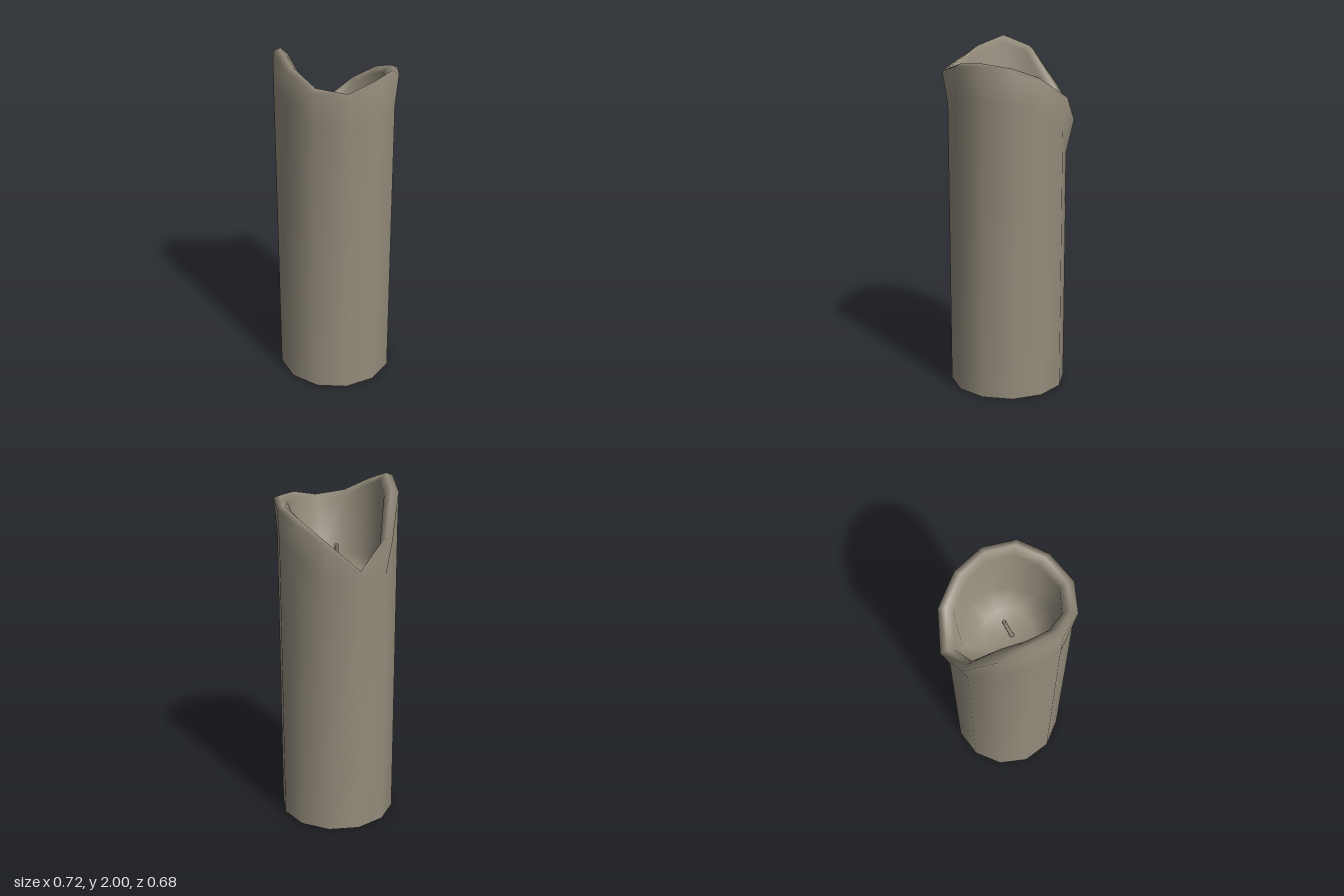
import * as THREE from 'three';
import { mergeVertices } from 'three/addons/utils/BufferGeometryUtils.js';

const SIDES = 12;
const START = THREE.MathUtils.degToRad(4);
const CENTER_X = 0.012;
const RADIUS = 0.335;
const FLOOR = 1.5;

// Rim height and outer rim radius at each of the twelve corners
const rimHeight = [1.88, 1.84, 1.865, 1.945, 2.0, 1.94, 1.71, 1.56, 1.71, 1.81, 1.865, 1.89];
const rimRadius = [0.348, 0.364, 0.353, 0.337, 0.333, 0.337, 0.372, 0.377, 0.36, 0.342, 0.344, 0.353];

// Cross-section at one corner: up the outside, over the lip, down to the pool
function profile(i) {
  const h = rimHeight[i], r = rimRadius[i];
  const pool = Math.min(FLOOR + 0.02, h - 0.06);
  return [
    [RADIUS, 0],
    [RADIUS, h - 0.2],
    [r, h - 0.015],
    [r - 0.04, h],
    [r - 0.08, h - 0.035],
    [0.25, pool],
    [0.14, FLOOR - 0.03],
    [0, FLOOR - 0.05],
  ];
}

function waxGeometry() {
  const positions = [], index = [];
  const rows = profile(0).length;
  for (let i = 0; i < SIDES; i++) {
    const a = START + (i / SIDES) * Math.PI * 2;
    for (const [r, y] of profile(i)) {
      positions.push(CENTER_X + r * Math.cos(a), y, r * Math.sin(a));
    }
  }
  for (let i = 0; i < SIDES; i++) {
    const p = i * rows, q = ((i + 1) % SIDES) * rows;
    for (let j = 0; j < rows - 1; j++) {
      index.push(q + j, p + j, p + j + 1);
      if (j < rows - 2) index.push(q + j, p + j + 1, q + j + 1);
    }
  }
  let geometry = new THREE.BufferGeometry();
  geometry.setAttribute('position', new THREE.Float32BufferAttribute(positions, 3));
  geometry.setIndex(index);
  geometry = mergeVertices(geometry, 1e-5);
  geometry.computeVertexNormals();
  return geometry;
}

export function createModel() {
  const group = new THREE.Group();
  group.name = 'candle';
  const wax = new THREE.MeshStandardMaterial({ color: 0x948c7c });
  wax.name = 'greyWax';

  function add(name, geometry) {
    const mesh = new THREE.Mesh(geometry, wax);
    mesh.name = name;
    group.add(mesh);
    return mesh;
  }

  // Melted body with its uneven lip and hollow top
  add('waxBody', waxGeometry());

  // Flat underside
  const base = add('base', new THREE.CircleGeometry(RADIUS, SIDES, -START));
  base.rotation.x = Math.PI / 2;
  base.rotation.z = START * 2;
  base.position.x = CENTER_X;

  // Short leaning wick
  const foot = new THREE.Vector3(0.025, FLOOR - 0.07, 0.028);
  const tip = new THREE.Vector3(0.004, 1.63, -0.018);
  const wick = add('wick', new THREE.CylinderGeometry(0.011, 0.012, foot.distanceTo(tip), 6));
  wick.position.copy(foot).lerp(tip, 0.5);
  wick.quaternion.setFromUnitVectors(new THREE.Vector3(0, 1, 0), tip.sub(foot).normalize());

  return group;
}
